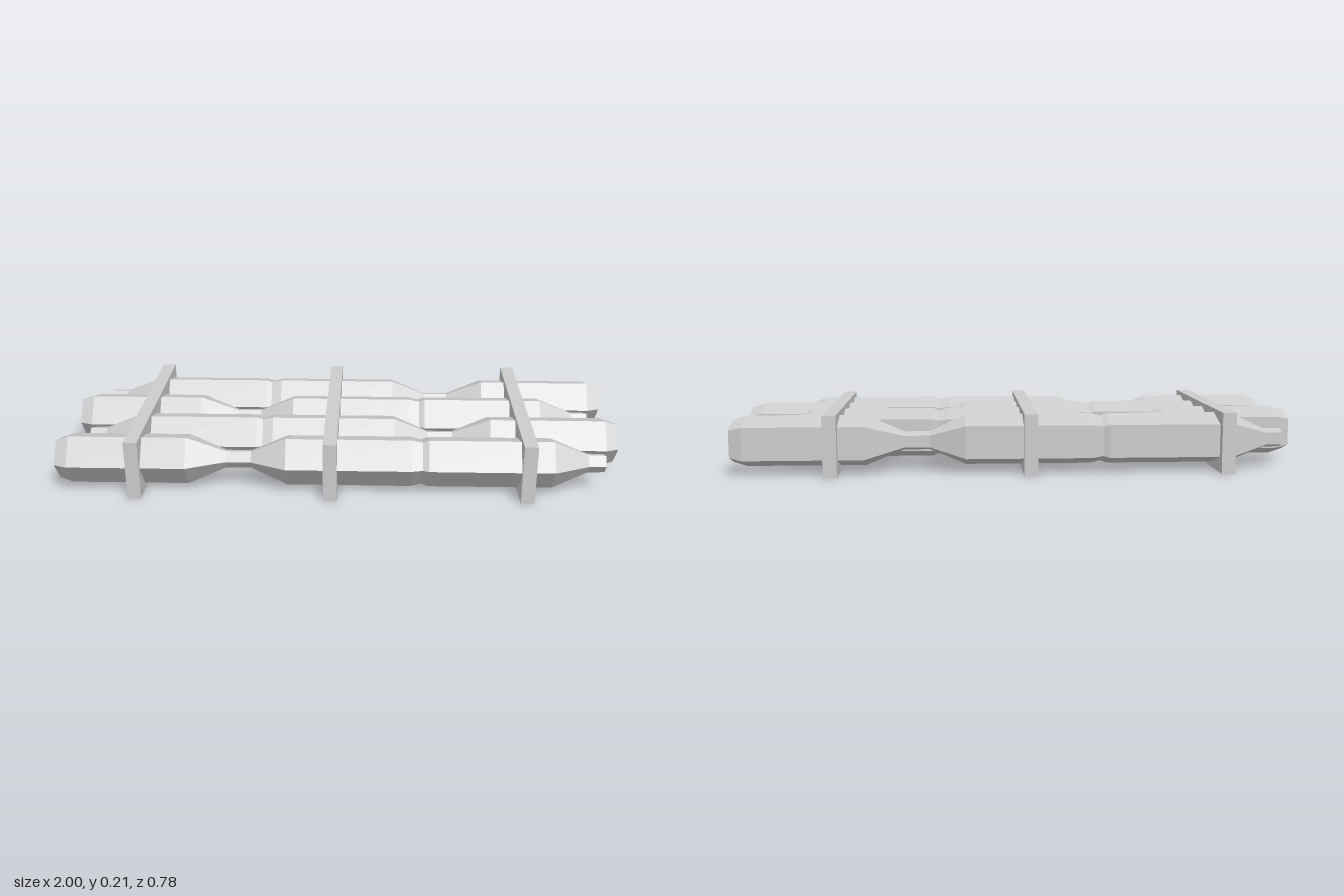
import * as THREE from 'three';

// Five-sided cross-section as [z, y] offsets from the log's axis
const SECTION = [[0.027, 0.09], [-0.073, 0.06], [-0.073, -0.055], [0.024, -0.088], [0.095, 0.002]];

// Log profile as [x, scale of the section]
const PROFILE = [
  [-1, 0.82], [-0.955, 1], [-0.54, 1], [-0.405, 0.36], [-0.315, 0.36], [-0.19, 1],
  [0.25, 1], [0.288, 0.9], [0.31, 1], [0.745, 1], [0.87, 0.38], [0.93, 0.36],
];

// Lofts the section along the profile and closes both ends
function logGeometry(profile) {
  const rings = profile.map(([x, s]) =>
    SECTION.map(([z, y]) => [x, y * s, z * s]));
  const n = SECTION.length;
  const pos = [];
  const tri = (a, b, c) => pos.push(...a, ...b, ...c);
  for (let i = 0; i < rings.length - 1; i++) {
    for (let j = 0; j < n; j++) {
      const k = (j + 1) % n;
      const a = rings[i][j], b = rings[i + 1][j], c = rings[i + 1][k], d = rings[i][k];
      tri(a, b, c);
      tri(a, c, d);
    }
  }
  const first = rings[0], last = rings[rings.length - 1];
  for (let j = 1; j < n - 1; j++) {
    tri(first[0], first[j], first[j + 1]);
    tri(last[0], last[j + 1], last[j]);
  }
  const geometry = new THREE.BufferGeometry();
  geometry.setAttribute('position', new THREE.Float32BufferAttribute(pos, 3));
  geometry.computeVertexNormals();
  return geometry;
}

export function createModel() {
  const group = new THREE.Group();
  group.name = 'raft';
  const grey = new THREE.MeshStandardMaterial({ color: 0xcccccc });
  grey.name = 'grey';

  // Four logs, alternately turned end for end
  const forward = logGeometry(PROFILE);
  const reversed = logGeometry(PROFILE.map(([x, s]) => [-x, s]).reverse());
  for (let i = 0; i < 4; i++) {
    const log = new THREE.Mesh(i % 2 ? reversed : forward, grey);
    log.name = `log${i + 1}`;
    log.position.set(0, 0.11, 0.283 - 0.188 * i);
    group.add(log);
  }

  // Three cross boards holding the logs together
  const board = new THREE.BoxGeometry(0.048, 0.214, 0.776);
  [-0.72, -0.034, 0.654].forEach((x, i) => {
    const mesh = new THREE.Mesh(board, grey);
    mesh.name = `crossBoard${i + 1}`;
    mesh.position.set(x, 0.107, 0);
    group.add(mesh);
  });
  return group;
}
